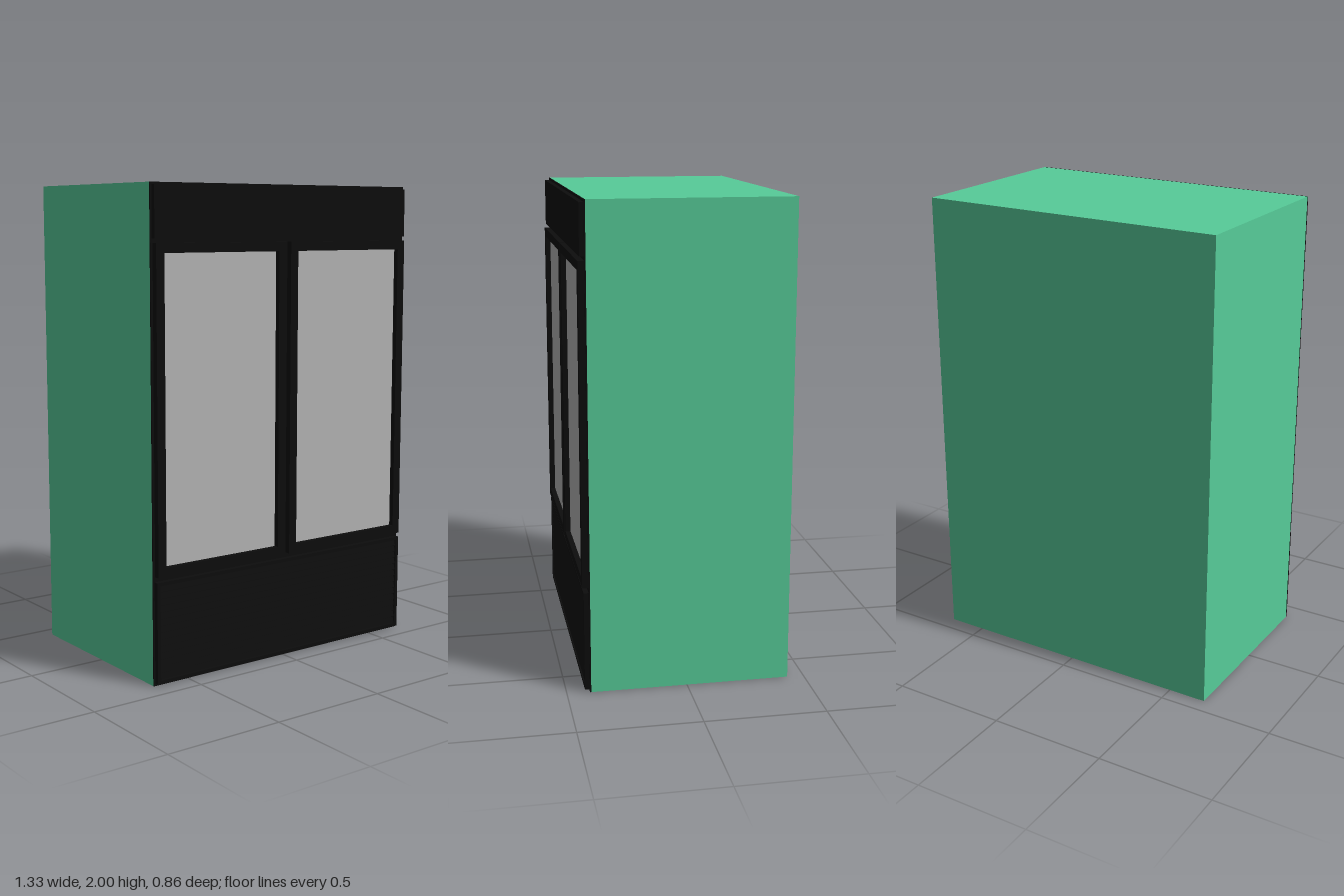
import * as THREE from 'three';

const green = new THREE.MeshStandardMaterial({ color: 0x57cc99 });
const black = new THREE.MeshStandardMaterial({ color: 0x0d0d0d });
const glass = new THREE.MeshStandardMaterial({ color: 0xb3b3b3 });

// Box given by its extents on each axis
function box(name, material, [x0, x1], [y0, y1], [z0, z1]) {
  const mesh = new THREE.Mesh(new THREE.BoxGeometry(x1 - x0, y1 - y0, z1 - z0), material);
  mesh.position.set((x0 + x1) / 2, (y0 + y1) / 2, (z0 + z1) / 2);
  mesh.name = name;
  return mesh;
}

function rectangle(path, w, h) {
  path.moveTo(-w / 2, -h / 2);
  path.lineTo(w / 2, -h / 2);
  path.lineTo(w / 2, h / 2);
  path.lineTo(-w / 2, h / 2);
  path.closePath();
  return path;
}

// Rectangular frame with an opening, standing in the xy plane
function frame(name, [x0, x1], [y0, y1], [z0, z1], border) {
  const w = x1 - x0, h = y1 - y0;
  const shape = rectangle(new THREE.Shape(), w, h);
  shape.holes.push(rectangle(new THREE.Path(), w - 2 * border, h - 2 * border));
  const geometry = new THREE.ExtrudeGeometry(shape, { depth: z1 - z0, bevelEnabled: false });
  const mesh = new THREE.Mesh(geometry, black);
  mesh.position.set((x0 + x1) / 2, (y0 + y1) / 2, z0);
  mesh.name = name;
  return mesh;
}

export function createModel() {
  const model = new THREE.Group();
  model.name = 'displayCooler';

  // Cabinet and the thin dark face behind the doors
  model.add(box('cabinet', green, [-0.665, 0.665], [0, 2], [-0.43, 0.4]));
  model.add(box('facePlate', black, [-0.665, 0.665], [0, 2], [0.4, 0.405]));

  // Header panel
  model.add(box('headerPanel', black, [-0.658, 0.658], [1.785, 1.99], [0.405, 0.424]));

  // Two glazed doors with a gap between them
  for (const side of [-1, 1]) {
    const span = (a, b) => (side > 0 ? [a, b] : [-b, -a]);
    const door = new THREE.Group();
    door.name = side > 0 ? 'leftDoor' : 'rightDoor';
    door.add(frame('doorFrame', span(0.012, 0.655), [0.45, 1.768], [0.405, 0.43], 0.038));
    door.add(box('doorGlass', glass, span(0.04, 0.625), [0.48, 1.738], [0.405, 0.408]));
    model.add(door);
  }

  // Lower ventilation grille with slanted slats
  const grille = new THREE.Group();
  grille.name = 'ventGrille';
  grille.add(frame('grilleFrame', [-0.658, 0.658], [0.01, 0.43], [0.405, 0.425], 0.015));
  const slats = 14, pitch = 0.39 / slats;
  for (let i = 0; i < slats; i++) {
    const y = 0.025 + pitch * (i + 0.5);
    const slat = box('grilleSlat', black, [-0.643, 0.643], [y - 0.012, y + 0.012], [0.412, 0.418]);
    slat.rotation.x = -0.25;
    grille.add(slat);
  }
  model.add(grille);

  return model;
}
